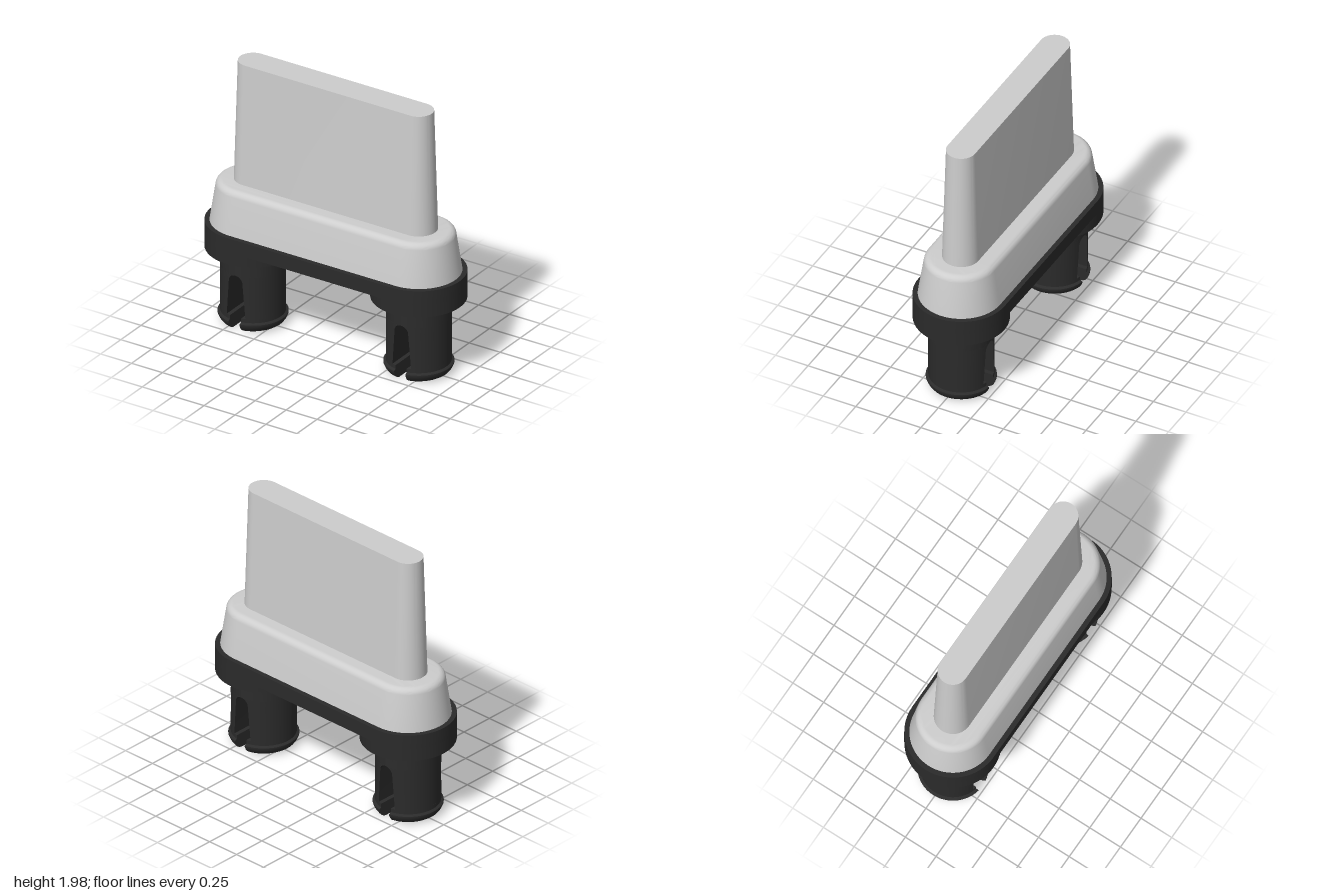
import * as THREE from 'three';
import { toCreasedNormals } from 'three/addons/utils/BufferGeometryUtils.js';

const END = 0.67; // x of the rounded ends and of the legs

// Skin a stack of convex cross-sections, each { y, pts: [[x, z], ...] } counter-clockwise from above
function loft(rings) {
  const n = rings[0].pts.length, pos = [], idx = [];
  for (const { y, pts } of rings) for (const [x, z] of pts) pos.push(x, y, z);
  for (let r = 0; r < rings.length - 1; r++) {
    for (let i = 0; i < n; i++) {
      const a = r * n + i, b = r * n + (i + 1) % n;
      idx.push(a, b, b + n, a, b + n, a + n);
    }
  }
  const top = (rings.length - 1) * n;
  for (let i = 1; i < n - 1; i++) {
    idx.push(0, i + 1, i);
    idx.push(top, top + i, top + i + 1);
  }
  const g = new THREE.BufferGeometry();
  g.setAttribute('position', new THREE.Float32BufferAttribute(pos, 3));
  g.setIndex(idx);
  return toCreasedNormals(g, 0.6);
}

// Long rounded outline with end radius r
function stadium(y, r, seg = 32) {
  const pts = [];
  for (const side of [1, -1]) {
    for (let i = 0; i <= seg; i++) {
      const t = -Math.PI / 2 + Math.PI * i / seg;
      pts.push([side * (END + r * Math.cos(t)), -side * r * Math.sin(t)]);
    }
  }
  return { y, pts };
}

// Part of a disc of radius r lying beyond x = w
function halfDisc(y, r, w, seg = 40) {
  const a = Math.acos(w / r), pts = [];
  for (let i = 0; i <= seg; i++) {
    const t = -a + 2 * a * i / seg;
    pts.push([r * Math.cos(t), -r * Math.sin(t)]);
  }
  return { y, pts };
}

export function createModel() {
  const model = new THREE.Group();
  const lightGrey = new THREE.MeshStandardMaterial({ name: 'lightGrey', color: 0xcdcdcd });
  const black = new THREE.MeshStandardMaterial({ name: 'black', color: 0x2b2b2b });
  const add = (name, geometry, material, parent = model) => {
    const mesh = new THREE.Mesh(geometry, material);
    mesh.name = name;
    parent.add(mesh);
    return mesh;
  };

  // Upright tapered blade
  add('blade', loft([stadium(1.06, 0.131), stadium(1.975, 0.104)]), lightGrey);

  // Tapered body with a rounded upper edge
  const body = [stadium(0.75, 0.297)];
  for (let i = 0; i <= 8; i++) {
    const t = 0.14 + (Math.PI / 2 - 0.14) * i / 8;
    body.push(stadium(1.025 + 0.05 * Math.sin(t), 0.205 + 0.05 * Math.cos(t)));
  }
  add('body', loft(body), lightGrey);

  // Base plate
  add('basePlate', loft([stadium(0.655, 0.33), stadium(0.76, 0.33)]), black);

  // Leg profile: [y, radius, half width of the slot]
  const profile = [
    [0, 0.18, 0.045], [0.006, 0.2, 0.045], [0.018, 0.218, 0.045], [0.036, 0.231, 0.045],
    [0.06, 0.241, 0.045], [0.07, 0.241, 0.045], [0.08, 0.224, 0.045],
    [0.108, 0.224, 0.045], [0.108, 0.224, 0.075],
  ];
  for (let i = 0; i <= 10; i++) {
    const t = Math.PI / 2 * i / 10;
    profile.push([0.37 + 0.055 * Math.sin(t), 0.224, 0.055 * Math.max(0, Math.cos(t))]);
  }
  profile.push([0.57, 0.224, 0]);
  const prong = loft(profile.map(p => halfDisc(...p)));

  // Two slotted snap-in legs, each under a round boss
  for (const side of [1, -1]) {
    const leg = new THREE.Group();
    leg.name = side > 0 ? 'leftLeg' : 'rightLeg';
    leg.position.x = side * END;
    add('boss', new THREE.CylinderGeometry(0.33, 0.33, 0.095, 64), black, leg).position.y = 0.6075;
    add('outerProng', prong, black, leg).rotation.y = side > 0 ? 0 : Math.PI;
    add('innerProng', prong, black, leg).rotation.y = side > 0 ? Math.PI : 0;
    model.add(leg);
  }
  return model;
}
